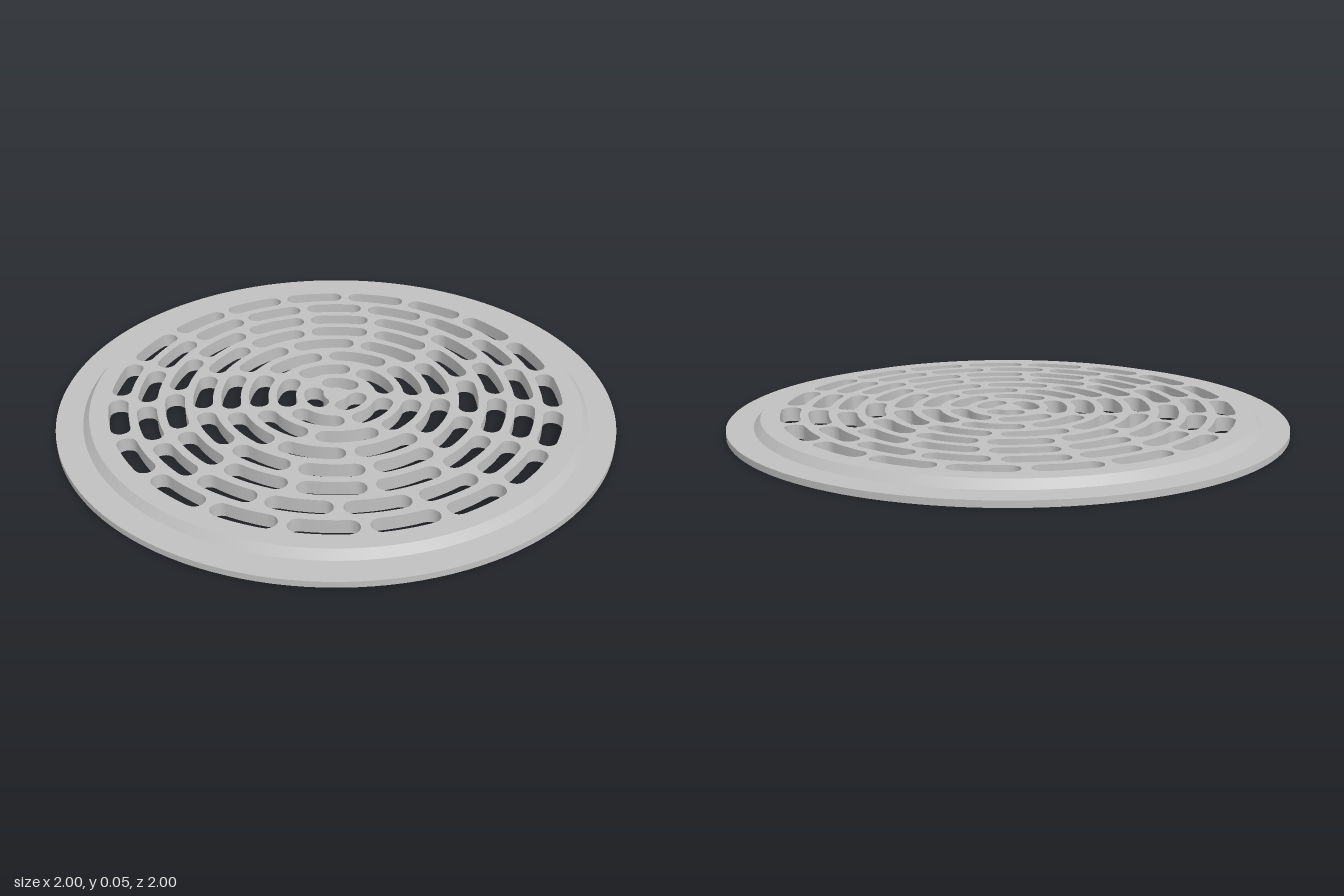
import * as THREE from 'three';
import { toCreasedNormals } from 'three/addons/utils/BufferGeometryUtils.js';

const SLOT_WIDTH = 0.07;
const GAP = 0.03;
const HEIGHT = 0.05;
const PLATE_RADIUS = 0.882;
const SEGMENTS = 128;

// Rings of slots: [radius, slot count, clockwise angle of the first slot from the back, in degrees]
const RINGS = [
  [0.08, 3, 30],
  [0.18, 5, 3],
  [0.28, 7, -16.5],
  [0.38, 9, 10],
  [0.48, 12, -11],
  [0.58, 14, -7],
  [0.68, 17, -4.5],
  [0.78, 19, -8.3],
];

// Curved slot with round ends, centred on a given angle
function slotPath(radius, middle, sweep) {
  const points = [];
  const half = SLOT_WIDTH / 2;
  const a0 = middle - sweep / 2;
  const a1 = middle + sweep / 2;
  const steps = 12;
  const addCap = (angle, start) => {
    const cx = radius * Math.cos(angle);
    const cy = radius * Math.sin(angle);
    for (let i = 0; i <= steps; i++) {
      const t = start + (Math.PI * i) / steps;
      points.push(new THREE.Vector2(cx + half * Math.cos(t), cy + half * Math.sin(t)));
    }
  };
  const addArc = (r, from, to) => {
    for (let i = 1; i < steps; i++) {
      const t = from + ((to - from) * i) / steps;
      points.push(new THREE.Vector2(r * Math.cos(t), r * Math.sin(t)));
    }
  };
  addCap(a1, a1);
  addArc(radius - half, a1, a0);
  addCap(a0, a0 + Math.PI);
  addArc(radius + half, a0, a1);
  return new THREE.Path(points);
}

export function createModel() {
  const group = new THREE.Group();
  group.name = 'drainCover';
  const metal = new THREE.MeshStandardMaterial({ color: 0xc0c0c0 });
  metal.name = 'grey metal';

  // Perforated disc
  const disc = new THREE.Shape();
  const outline = [];
  for (let i = 0; i < SEGMENTS; i++) {
    const t = (i / SEGMENTS) * Math.PI * 2;
    outline.push(new THREE.Vector2(PLATE_RADIUS * Math.cos(t), PLATE_RADIUS * Math.sin(t)));
  }
  disc.setFromPoints(outline);
  for (const [radius, count, first] of RINGS) {
    const pitch = (Math.PI * 2) / count;
    const sweep = pitch - (GAP + SLOT_WIDTH) / radius;
    for (let i = 0; i < count; i++) {
      const middle = Math.PI / 2 - THREE.MathUtils.degToRad(first) - i * pitch;
      disc.holes.push(slotPath(radius, middle, sweep));
    }
  }
  const plateGeometry = new THREE.ExtrudeGeometry(disc, { depth: HEIGHT, bevelEnabled: false });
  plateGeometry.rotateX(-Math.PI / 2);
  const plate = new THREE.Mesh(toCreasedNormals(plateGeometry, 0.5), metal);
  plate.name = 'slottedPlate';
  group.add(plate);

  // Flat flange with the chamfer that rises to the plate
  const profile = [
    [PLATE_RADIUS, 0],
    [1, 0],
    [1, 0.022],
    [0.905, 0.022],
    [PLATE_RADIUS, HEIGHT],
  ].map(([r, y]) => new THREE.Vector2(r, y));
  const rimGeometry = new THREE.LatheGeometry(profile, SEGMENTS);
  const rim = new THREE.Mesh(toCreasedNormals(rimGeometry, 0.5), metal);
  rim.name = 'rimFlange';
  group.add(rim);

  return group;
}
